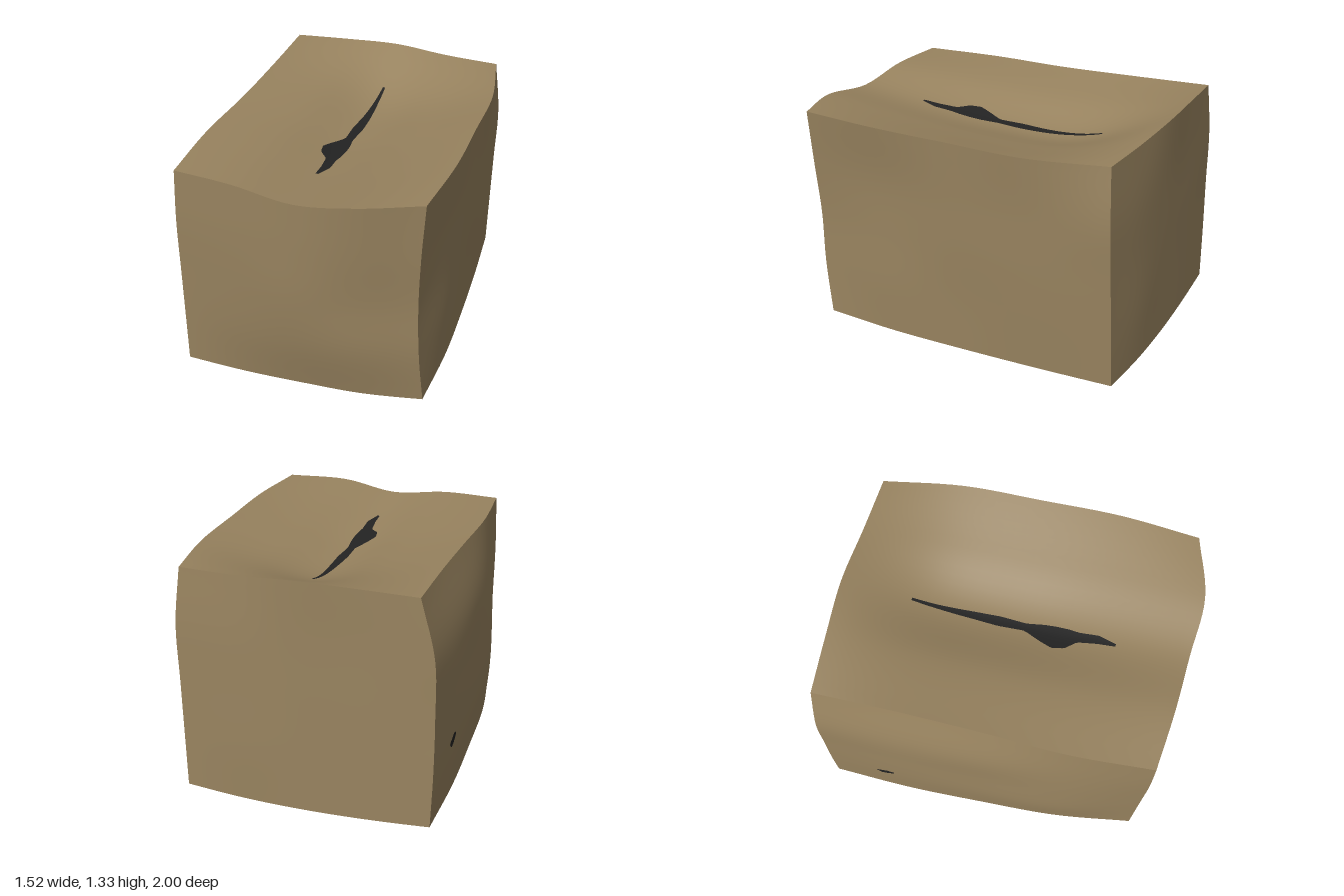
import * as THREE from 'three';

// Side positions: rows go from bottom to top, columns along the side
const LEFT_X = [ // columns back to front, at -x
  [-.70, -.73, -.735, -.73, -.68],
  [-.71, -.745, -.755, -.755, -.68],
  [-.71, -.74, -.745, -.745, -.68],
  [-.70, -.72, -.73, -.72, -.68],
  [-.62, -.63, -.65, -.68, -.67],
];
const RIGHT_X = [ // columns back to front, at +x
  [.69, .71, .72, .72, .69],
  [.70, .725, .725, .72, .67],
  [.71, .735, .735, .71, .66],
  [.72, .74, .74, .71, .67],
  [.69, .755, .75, .74, .69],
];
const FRONT_Z = [ // columns from -x to +x
  [.85, .86, .86, .86, .83],
  [.86, .90, .92, .92, .87],
  [.87, .92, .95, .94, .88],
  [.88, .93, .96, .97, .90],
  [.88, .93, .965, .995, .91],
];
const BACK_Z = [ // columns from -x to +x
  [-1, -1, -.995, -.98, -.95],
  [-.995, -.995, -.99, -.98, -.94],
  [-.99, -.99, -.985, -.97, -.93],
  [-.99, -.985, -.98, -.96, -.92],
  [-.985, -.985, -.98, -.94, -.90],
];
const TOP_Y = [ // rows back to front, columns from -x to +x
  [1.31, 1.32, 1.325, 1.305, 1.30],
  [1.29, 1.24, 1.155, 1.21, 1.285],
  [1.27, 1.22, 1.13, 1.20, 1.285],
  [1.26, 1.23, 1.16, 1.22, 1.285],
  [1.25, 1.245, 1.205, 1.255, 1.28],
];

// Smooth interpolation through a row, and through a table
function along(row, s) {
  const n = row.length - 1;
  const p = THREE.MathUtils.clamp(s, 0, 1) * n;
  const i = Math.min(Math.floor(p), n - 1), f = p - i;
  const a = row[i], b = row[i + 1];
  const ma = i > 0 ? (b - row[i - 1]) / 2 : b - a;
  const mb = i < n - 1 ? (row[i + 2] - a) / 2 : b - a;
  const f2 = f * f, f3 = f2 * f;
  return a * (2 * f3 - 3 * f2 + 1) + ma * (f3 - 2 * f2 + f) + b * (3 * f2 - 2 * f3) + mb * (f3 - f2);
}
const sample = (table, row, col) => along(table.map((r) => along(r, col)), row);

// Maps a unit cube (u across, t up, w back to front) to the worn box
function boxPoint(u, t, w) {
  const { lerp } = THREE.MathUtils;
  return new THREE.Vector3(
    lerp(sample(LEFT_X, t, w), sample(RIGHT_X, t, w), u),
    lerp(0.02 * (2 * u - 1) ** 2, sample(TOP_Y, w, u), t),
    lerp(sample(BACK_Z, t, u), sample(FRONT_Z, t, u), w),
  );
}

// Thin patch lying on the surface: rows of [position, edge a, edge b]
function patch(rows, place, material, name) {
  const steps = 48, across = 4, pos = [], index = [];
  const columns = [0, 1, 2].map((k) => rows.map((r) => r[k]));
  for (let i = 0; i <= steps; i++) {
    const s = i / steps * (rows.length - 1);
    const k = Math.min(Math.floor(s), rows.length - 2);
    const [p, a, b] = columns.map((c) => THREE.MathUtils.lerp(c[k], c[k + 1], s - k));
    for (let j = 0; j <= across; j++) {
      pos.push(...place(p, a + (b - a) * j / across).toArray());
      if (i < steps && j < across) {
        const q = i * (across + 1) + j, r = q + across + 1;
        index.push(q, r, q + 1, q + 1, r, r + 1);
      }
    }
  }
  const geometry = new THREE.BufferGeometry();
  geometry.setAttribute('position', new THREE.Float32BufferAttribute(pos, 3));
  geometry.setIndex(index);
  geometry.computeVertexNormals();
  const mesh = new THREE.Mesh(geometry, material);
  mesh.name = name;
  return mesh;
}

export function createModel() {
  const group = new THREE.Group();
  group.name = 'cardboardBox';
  const cardboard = new THREE.MeshStandardMaterial({ color: 0x98835f });
  cardboard.name = 'cardboard brown';
  const dark = new THREE.MeshStandardMaterial({ color: 0x232323, side: THREE.DoubleSide });
  dark.name = 'gap black';

  // Box body with bulging sides and a sagging lid
  const geometry = new THREE.BoxGeometry(1, 1, 1, 28, 24, 28);
  const pos = geometry.attributes.position;
  for (let i = 0; i < pos.count; i++) {
    const p = boxPoint(pos.getX(i) + 0.5, pos.getY(i) + 0.5, pos.getZ(i) + 0.5);
    pos.setXYZ(i, p.x, p.y, p.z);
  }
  geometry.computeVertexNormals();
  const body = new THREE.Mesh(geometry, cardboard);
  body.name = 'boxBody';
  group.add(body);

  // Dark gap where the lid flaps meet, rows of [z, x from, x to]
  const gap = [
    [-.60, .05, .065], [-.45, .04, .065], [-.25, .025, .07], [-.10, .01, .07],
    [.05, .01, .055], [.15, -.04, .065], [.22, -.07, .065], [.29, -.06, .06],
    [.35, -.01, .05], [.46, 0, .05], [.56, 0, .015],
  ];
  group.add(patch(gap, (z, x) => {
    const w = (z + 0.98) / 1.945;
    const l = sample(LEFT_X, 1, w), r = sample(RIGHT_X, 1, w);
    const p = boxPoint((x - l) / (r - l), 1, w);
    p.y += 0.006;
    return p;
  }, dark, 'lidGap'));

  // Small hole low on one side, rows of [z, y from, y to]
  const hole = [[-.71, .34, .35], [-.68, .31, .36], [-.64, .32, .38], [-.60, .35, .37]];
  group.add(patch(hole, (z, y) => {
    const p = boxPoint(0, y / 1.28, (z + 1) / 1.87);
    p.x -= 0.004;
    return p;
  }, dark, 'sideHole'));

  return group;
}
